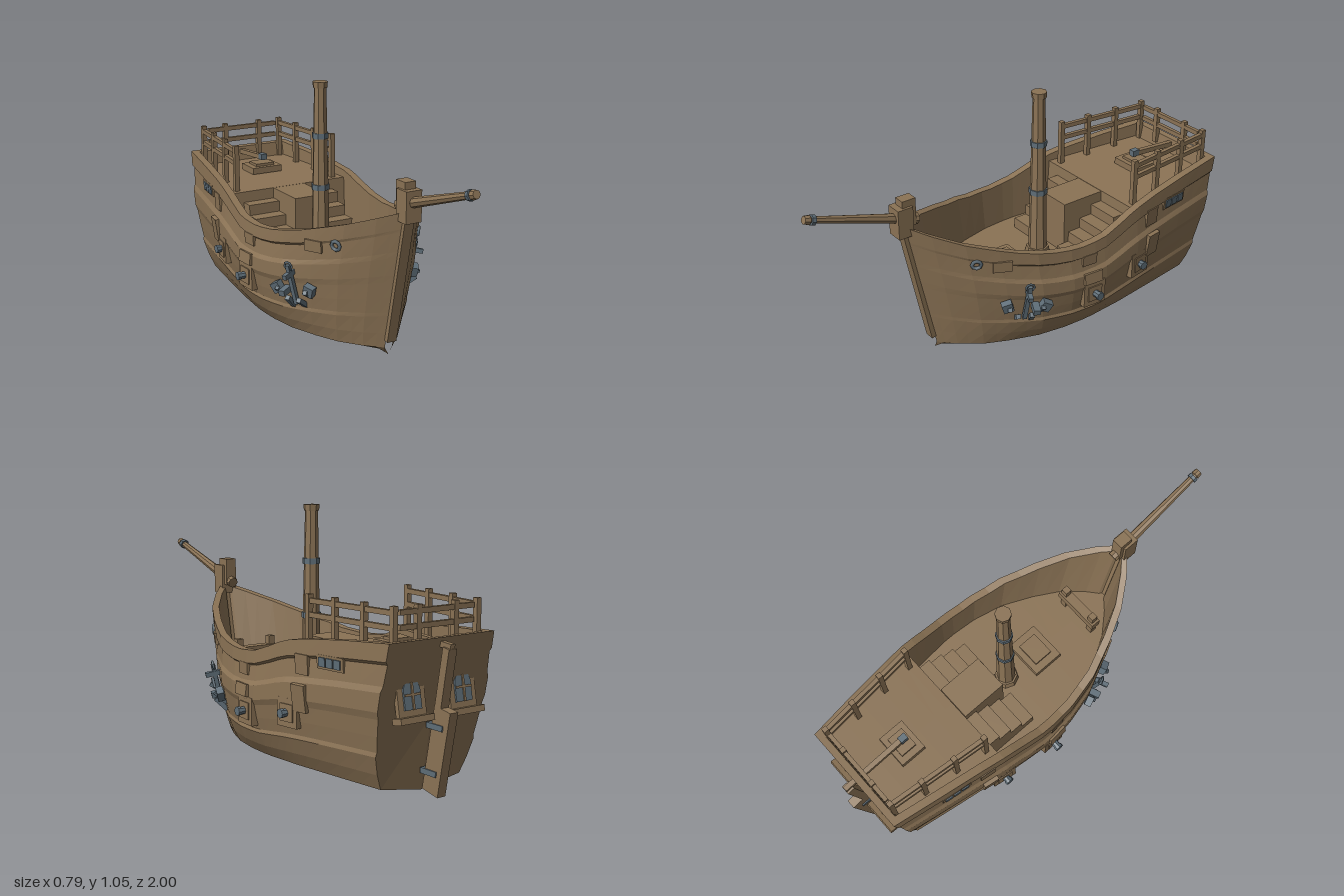
import * as THREE from 'three';

const wood = new THREE.MeshStandardMaterial({ color: 0x8b7355 });
wood.name = 'wood';
const iron = new THREE.MeshStandardMaterial({ color: 0x5f6e78 });
iron.name = 'iron';

// piecewise-linear lookup in [position, value] pairs
function lookup(table, s) {
  for (let i = 1; i < table.length; i++) {
    const [a, va] = table[i - 1], [b, vb] = table[i];
    if (s <= b) return va + (vb - va) * Math.max(0, (s - a) / (b - a));
  }
  return table[table.length - 1][1];
}

// hull form: s runs from stern (0) to bow (1), t from chine (0) to sheer (1)
const BREADTH = [[0, .265], [.15, .3], [.35, .343], [.5, .36], [.6, .348], [.7, .315], [.8, .25], [.88, .185], [.95, .1], [1, .02]];
const SHEER = [[0, .605], [.15, .59], [.28, .57], [.36, .55], [.42, .515], [.48, .485], [.55, .472], [.64, .48], [.75, .515], [.87, .57], [.94, .61], [1, .65]];
const PROFILE = [[0, .74], [.11, .84], [.24, .92], [.27, .905], [.38, .94], [.5, .97], [.55, 1], [.68, 1], [.72, .965], [.86, .94], [.88, .975], [1, .965]];
const CHINE = 0.037, WALL = 0.035, DECK = 0.28, QUARTER = 0.52, BREAK = 0.345;
const height = s => lookup(SHEER, s) - CHINE;
const sternZ = t => -.82 - .11 * t, bowZ = t => .45 + .13 * t;
const hullZ = (s, t) => sternZ(t) + (bowZ(t) - sternZ(t)) * s;
const halfWidth = (s, t) => {
  const w = lookup(PROFILE, t);
  return lookup(BREADTH, s) * (w + (1 - w) * .5 * s ** 4);
};
// half-breadth of the hull at a given z and y
function hullX(z, y) {
  let s = .5, t = .5;
  for (let i = 0; i < 8; i++) {
    t = Math.min(1, Math.max(0, (y - CHINE) / height(s)));
    s = Math.min(1, Math.max(0, (z - sternZ(t)) / (bowZ(t) - sternZ(t))));
  }
  return halfWidth(s, t);
}

// closed ring of points: keel, planking, bulwark cap, inner wall, deck centre, and mirrored
function section(s, deckY) {
  const h = height(s), half = PROFILE.map(([t]) => [halfWidth(s, t), CHINE + t * h, hullZ(s, t)]);
  const inX = Math.max(0, halfWidth(s, 1) - WALL), dt = (deckY - CHINE) / h;
  half.push([inX, CHINE + h, hullZ(s, 1)], [inX, deckY, hullZ(s, dt)]);
  const mirror = half.map(([x, y, z]) => [-x, y, z]).reverse();
  return [[0, .004, hullZ(s, 0)], ...half, [0, deckY, hullZ(s, dt)], ...mirror];
}

function hullGeometry() {
  const rings = [section(0, lookup(SHEER, 0)), section(.02, lookup(SHEER, .02))];
  const stops = [.02, .08, .15, .22, .28, .32, BREAK];
  for (const s of stops) rings.push(section(s, QUARTER + .02 * (1 - s / BREAK)));
  for (const s of [BREAK, .38, .42, .45, .48, .52, .56, .6, .65, .7, .75, .8, .84, .88, .92, .95, .98, 1]) rings.push(section(s, DECK));
  const pos = [], n = rings[0].length;
  const tri = (a, b, c) => pos.push(...a, ...b, ...c);
  for (let j = 0; j < n; j++) {
    const k = (j + 1) % n;
    for (let i = 0; i < rings.length - 1; i++) {
      tri(rings[i][j], rings[i][k], rings[i + 1][j]);
      tri(rings[i][k], rings[i + 1][k], rings[i + 1][j]);
    }
    tri([0, .3, hullZ(0, (.3 - CHINE) / height(0))], rings[0][k], rings[0][j]);
  }
  const g = new THREE.BufferGeometry();
  g.setAttribute('position', new THREE.Float32BufferAttribute(pos, 3));
  g.computeVertexNormals();
  return g;
}

function add(parent, name, geo, mat, x = 0, y = 0, z = 0) {
  const m = new THREE.Mesh(geo, mat);
  m.name = name;
  m.position.set(x, y, z);
  parent.add(m);
  return m;
}
const box = (p, name, mat, w, h, d, x, y, z) => add(p, name, new THREE.BoxGeometry(w, h, d), mat, x, y, z);
function flatCylinder(r1, r2, h, n = 8) {
  const g = new THREE.CylinderGeometry(r1, r2, h, n).toNonIndexed();
  g.computeVertexNormals();
  return g;
}
const V = (x, y, z) => new THREE.Vector3(x, y, z);
// bar between two points, rectangular or round
function bar(p, name, mat, a, b, w, d = w) {
  const m = box(p, name, mat, w, d, a.distanceTo(b), 0, 0, 0);
  m.position.copy(a).lerp(b, .5);
  m.lookAt(b);
  return m;
}
function pole(p, name, mat, a, b, ra, rb) {
  const m = add(p, name, flatCylinder(rb, ra, a.distanceTo(b)), mat);
  m.position.copy(a).lerp(b, .5);
  m.quaternion.setFromUnitVectors(V(0, 1, 0), b.clone().sub(a).normalize());
  return m;
}
// group lying on the hull side, its +z pointing outwards
function onHull(p, name, side, z, y, lean = true) {
  const g = new THREE.Group(), e = .04;
  g.name = name;
  g.position.set(side * hullX(z, y), y, z);
  const dy = lean ? (hullX(z, y + e) - hullX(z, y - e)) / (2 * e) : 0;
  const dz = (hullX(z + e, y) - hullX(z - e, y)) / (2 * e);
  g.lookAt(g.position.clone().add(V(side, -dy, -dz)));
  p.add(g);
  return g;
}

function addSide(ship, side) {
  // gun ports and cannons
  for (const [z, y, tip] of [[-.145, .23, .395], [-.415, .27, .37]]) {
    const port = onHull(ship, 'gunPort', side, z, y, false);
    box(port, 'portPlate', wood, .11, .115, .03, 0, 0, 0);
    box(port, 'portInset', wood, .07, .07, .04, 0, 0, 0);
    pole(ship, 'cannon', iron, V(side * .28, y, z), V(side * tip, y, z), .02, .015);
    pole(ship, 'cannonMuzzle', iron, V(side * (tip - .014), y, z), V(side * tip, y, z), .019, .019);
  }
  // vertical timbers and cleats on the planking
  for (const [z, y, w, h] of [[-.12, .4, .07, .05], [-.49, .47, .07, .08], [-.49, .34, .07, .11], [.26, .46, .08, .05], [-.13, .315, .09, .05]])
    box(onHull(ship, 'sideTimber', side, z, y), 'timber', wood, w, h, .022, 0, 0, 0);
  // quarter windows
  const win = onHull(ship, 'quarterWindow', side, -.64, .495);
  box(win, 'windowFrame', wood, .14, .055, .018, 0, 0, 0);
  for (const i of [-1, 0, 1]) box(win, 'pane', iron, .034, .036, .006, i * .04, 0, .011);
  // hawse hole
  const hawse = onHull(ship, 'hawseHole', side, .355, .48);
  add(hawse, 'hawseRing', new THREE.TorusGeometry(.019, .008, 5, 8), iron, 0, 0, .006);
  // anchor
  const anchor = onHull(ship, 'anchor', side, .165, .27);
  anchor.rotateZ(side * -.1);
  box(anchor, 'shank', iron, .018, .18, .018, 0, .01, .02);
  add(anchor, 'anchorRing', new THREE.TorusGeometry(.018, .005, 5, 8), iron, 0, .095, .02);
  box(anchor, 'stock', iron, .02, .02, .08, 0, .06, .02);
  for (const d of [-1, 1]) {
    bar(anchor, 'arm', iron, V(0, -.09, .02), V(d * .06, -.055, .02), .02);
    bar(anchor, 'arm', iron, V(d * .055, -.06, .02), V(d * .085, 0, .02), .018);
    box(anchor, 'fluke', iron, .045, .045, .03, d * .082, -.01, .02).rotation.z = d * -.4;
  }
  box(anchor, 'anchorHook', iron, .03, .025, .09, side * .04, -.02, .01);

  // quarterdeck side railing
  const railX = z => side * (.248 + (z + .44) * .1);
  for (const z of [-.44, -.585, -.74, -.89]) box(ship, 'railPost', wood, .022, .21, .022, railX(z), .625, z);
  for (const y of [.65, .705]) bar(ship, 'sideRail', wood, V(railX(-.44), y, -.44), V(railX(-.89), y, -.89), .018, .02);
  // steps to the quarterdeck
  for (let i = 0; i < 4; i++) {
    const h = .048 * (4 - i);
    box(ship, 'step', wood, .15, h, .064, side * .155, DECK + h / 2, -.38 + i * .064);
  }
  // stern window
  const w = new THREE.Group();
  w.name = 'sternWindow';
  w.position.set(side * .125, .4, sternZ((.4 - CHINE) / height(0)));
  w.rotation.set(-.19, Math.PI, 0, 'YXZ');
  ship.add(w);
  box(w, 'frame', wood, .13, .16, .02, 0, 0, 0);
  box(w, 'sill', wood, .16, .024, .05, 0, -.09, .01);
  box(w, 'lintel', wood, .15, .02, .035, 0, .088, .008);
  const arch = new THREE.Shape();
  arch.moveTo(-.04, -.055).lineTo(.04, -.055).lineTo(.04, .015).absarc(0, .015, .04, 0, Math.PI, false);
  add(w, 'pane', new THREE.ExtrudeGeometry(arch, { depth: .008, bevelEnabled: false, curveSegments: 5 }), iron, 0, 0, .009);
  box(w, 'mullion', wood, .009, .1, .008, 0, -.005, .018);
  box(w, 'mullion', wood, .075, .009, .008, 0, 0, .018);
  // bitts near the bow
  box(ship, 'bittPost', wood, .03, .15, .03, side * .085, DECK + .075, .33);
}

export function createModel() {
  const ship = new THREE.Group();
  ship.name = 'sailingShip';
  add(ship, 'hull', hullGeometry(), wood);
  for (const side of [1, -1]) addSide(ship, side);

  // stem and stem head
  bar(ship, 'stem', wood, V(0, .07, .46), V(0, .64, .578), .044, .03);
  box(ship, 'stemHead', wood, .072, .13, .07, 0, .675, .58);
  box(ship, 'stemCap', wood, .05, .12, .062, 0, .71, .557);
  // bowsprit
  pole(ship, 'bowsprit', wood, V(0, .66, .51), V(0, .817, .99), .024, .014);
  pole(ship, 'bowspritBand', iron, V(0, .806, .957), V(0, .811, .972), .022, .022);
  pole(ship, 'bowspritTip', wood, V(0, .813, .978), V(0, .82, 1), .02, .017);
  // mast
  add(ship, 'mast', flatCylinder(.027, .042, .76), wood, 0, .66, -.11);
  add(ship, 'mastCap', flatCylinder(.034, .032, .026), wood, 0, 1.037, -.11);
  add(ship, 'mastCollar', flatCylinder(.05, .056, .03), wood, 0, DECK + .015, -.11);
  add(ship, 'mastBand', flatCylinder(.041, .041, .024), iron, 0, .587, -.11);
  add(ship, 'mastBand', flatCylinder(.037, .037, .024), iron, 0, .815, -.11);
  // block between the stairs
  box(ship, 'stairBlock', wood, .16, QUARTER - DECK, .21, 0, (QUARTER + DECK) / 2, -.3);
  // hatches
  for (const [y, z, w] of [[DECK, .065, .18], [QUARTER + .012, -.68, .15]]) {
    box(ship, 'hatchCoaming', wood, w, .03, w * .8, 0, y + .015, z);
    box(ship, 'hatchCover', wood, w * .62, .042, w * .5, 0, y + .021, z);
  }
  box(ship, 'bittBeam', wood, .22, .045, .045, 0, .37, .33);

  // stern railing
  for (const y of [.65, .705]) box(ship, 'sternRail', wood, .36, .02, .018, 0, y, -.89);
  for (const x of [-.09, .09]) box(ship, 'sternRailPost', wood, .022, .17, .022, x, .645, -.89);

  // rudder, hinges and tiller
  const blade = new THREE.Shape([[.85, .02], [.935, .003], [.995, .335], [.91, .35]].map(p => new THREE.Vector2(...p)));
  const rudder = add(ship, 'rudder', new THREE.ExtrudeGeometry(blade, { depth: .04, bevelEnabled: false }), wood, -.02, 0, 0);
  rudder.rotation.y = Math.PI / 2;
  bar(ship, 'rudderPost', wood, V(0, .3, -.92), V(0, .57, -.965), .04, .034);
  for (const [y, z] of [[.09, -.885], [.27, -.915]]) box(ship, 'rudderHinge', iron, .05, .022, .085, 0, y, z);
  bar(ship, 'tiller', wood, V(0, .6, -.66), V(0, .575, -.98), .022);
  box(ship, 'tillerGrip', iron, .028, .028, .035, 0, .602, -.67);
  return ship;
}
